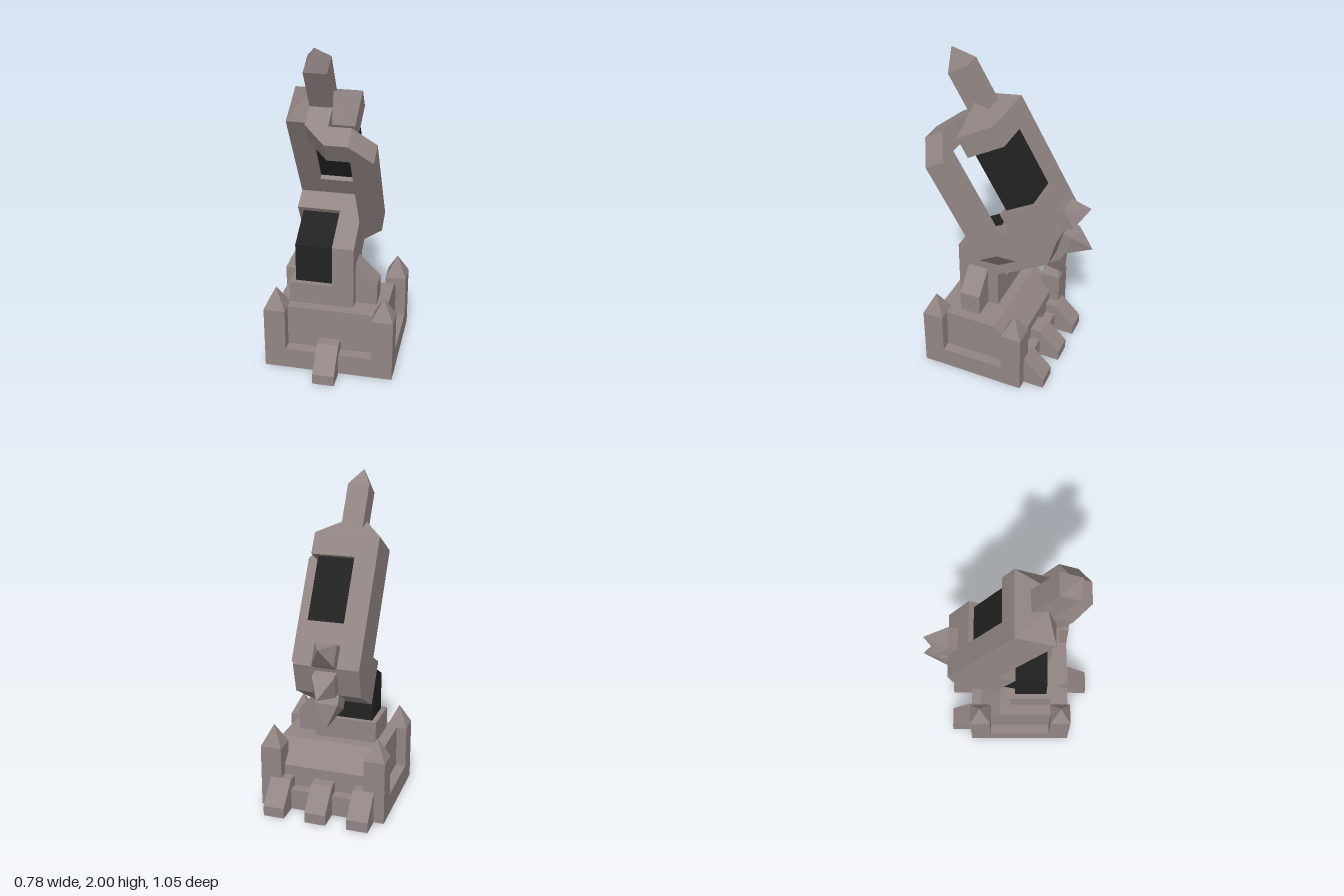
import * as THREE from 'three';

export function createModel() {
  const model = new THREE.Group();
  const stone = new THREE.MeshStandardMaterial({ color: 0x928684, name: 'stone', flatShading: true });
  const black = new THREE.MeshStandardMaterial({ color: 0x222222, name: 'black', flatShading: true });

  function add(parent, name, geometry, material = stone) {
    const mesh = new THREE.Mesh(geometry, material);
    mesh.name = name;
    parent.add(mesh);
    return mesh;
  }
  // Box given by its minimum and maximum on each axis
  function box(parent, name, [x0, x1], [y0, y1], [z0, z1], material) {
    const g = new THREE.BoxGeometry(x1 - x0, y1 - y0, z1 - z0);
    g.translate((x0 + x1) / 2, (y0 + y1) / 2, (z0 + z1) / 2);
    return add(parent, name, g, material);
  }
  const extrude = (points, depth) => new THREE.ExtrudeGeometry(
    new THREE.Shape(points.map(p => new THREE.Vector2(...p))), { depth, bevelEnabled: false });
  // Side profile of [z, y] points, extruded across x
  function sideProfile(parent, name, [x0, x1], points, material) {
    const g = extrude(points, x1 - x0);
    g.rotateY(-Math.PI / 2);
    g.translate(x1, 0, 0);
    return add(parent, name, g, material);
  }
  // Front profile of [x, y] points, extruded along z
  function frontProfile(parent, name, [z0, z1], points) {
    const g = extrude(points, z1 - z0);
    g.translate(0, 0, z0);
    return add(parent, name, g);
  }
  // Square shaft with a pyramid tip, pointing along +y
  function spike(parent, name, shaft, tip) {
    const group = new THREE.Group();
    group.name = name;
    box(group, name + 'Shaft', [-0.065, 0.065], [0, shaft], [-0.065, 0.065]);
    const g = new THREE.CylinderGeometry(0, 0.065 * Math.SQRT2, tip, 4);
    g.rotateY(Math.PI / 4);
    g.translate(0, shaft + tip / 2, 0);
    add(group, name + 'Tip', g);
    parent.add(group);
    return group;
  }

  // Pedestal
  const base = new THREE.Group();
  base.name = 'pedestal';
  model.add(base);
  box(base, 'plinth', [-0.39, 0.39], [0, 0.13], [-0.256, 0.396]);
  sideProfile(base, 'pedestalBody', [-0.327, 0.327],
    [[0.33, 0.13], [0.33, 0.392], [-0.06, 0.392], [-0.193, 0.26], [-0.193, 0.13]]);
  for (const x of [-0.325, 0.325]) {
    for (const z of [-0.191, 0.331]) {
      spike(base, 'cornerPost', 0.262, 0.13).position.set(x, 0.13, z);
    }
  }
  // Sloped feet: one in front, three behind
  const foot = (name, x, s, face, wall) => {
    const pts = [[wall, 0], [wall, 0.197], [face, 0.197], [face + s * 0.13, 0.065], [face + s * 0.13, 0]];
    sideProfile(base, name, [x - 0.065, x + 0.065], pts);
  };
  foot('frontFoot', 0, 1, 0.396, 0.3);
  for (const x of [-0.262, 0, 0.262]) foot('backFoot', x, -1, -0.256, -0.17);

  // Column, bent joint and side buttress
  box(model, 'columnBase', [-0.26, 0.13], [0.39, 0.525], [0.005, 0.267]);
  sideProfile(model, 'column', [0, 0.13],
    [[0.267, 0.525], [0.267, 0.783], [0.033, 0.916], [-0.097, 0.691], [0.005, 0.635], [0.005, 0.525]]);
  sideProfile(model, 'bentJoint', [-0.228, 0.002],
    [[0.235, 0.52], [0.235, 0.765], [0.018, 0.89], [-0.082, 0.717], [0.035, 0.65], [0.035, 0.52]], black);
  frontProfile(model, 'sideButtress', [0.072, 0.2],
    [[0.13, 0.39], [0.26, 0.39], [0.26, 0.525], [0.13, 0.655]]);

  // Upper part, tilted forward by 30 degrees
  const head = new THREE.Group();
  head.name = 'tiltedHead';
  head.rotation.x = Math.PI / 6;
  model.add(head);
  sideProfile(head, 'headBase', [-0.26, 0.13],
    [[-0.427, 0.55], [-0.427, 0.81], [-0.554, 0.81], [-0.554, 0.94],
      [-0.814, 0.94], [-0.814, 0.68], [-0.684, 0.55]]);
  box(head, 'headSpine', [-0.26, -0.13], [0.94, 1.33], [-0.814, -0.554]);
  box(head, 'headTop', [-0.26, 0.13], [1.33, 1.46], [-0.814, -0.554]);
  box(head, 'headCore', [-0.14, 0.0975], [0.93, 1.34], [-0.781, -0.586], black);

  // Hipped roof: the top of a box drawn in to a short ridge
  let roof = new THREE.BoxGeometry(0.39, 0.126, 0.26);
  const pos = roof.attributes.position;
  for (let i = 0; i < pos.count; i++) {
    if (pos.getY(i) > 0) {
      pos.setX(i, Math.sign(pos.getX(i)) * 0.065);
      pos.setZ(i, 0);
    }
  }
  roof = roof.toNonIndexed();
  roof.computeVertexNormals();
  roof.translate(-0.065, 1.523, -0.684);
  add(head, 'hippedRoof', roof);

  // Spikes: one on the roof, three around the back
  const spikes = [
    ['roofSpike', 0.31, 0.122, 1.48, -0.684, 0],
    ['upperBackSpike', 0.085, 0.13, 0.742, -0.792, -Math.PI / 2],
    ['middleBackSpike', 0.08, 0.13, 0.63, -0.735, -Math.PI * 0.75],
    ['lowerBackSpike', 0.085, 0.13, 0.575, -0.619, Math.PI],
  ];
  for (const [name, shaft, tip, y, z, angle] of spikes) {
    const s = spike(head, name, shaft, tip);
    s.position.set(-0.065, y, z);
    s.rotation.x = angle;
  }

  // Handle: upright bar with bevelled ends, and a hooked arm to the head
  frontProfile(head, 'handleBar', [-0.487, -0.357],
    [[0.13, 0.615], [0.26, 0.745], [0.26, 1.395], [0.13, 1.525]]);
  const arm = extrude([[0.13, 0.357], [0.13, 0.487], [0, 0.487], [0, 0.65],
    [-0.13, 0.65], [-0.13, 0.487], [0, 0.357]], 0.13);
  arm.rotateX(-Math.PI / 2);
  arm.translate(0, 1.395, 0);
  add(head, 'handleArm', arm);

  return model;
}
